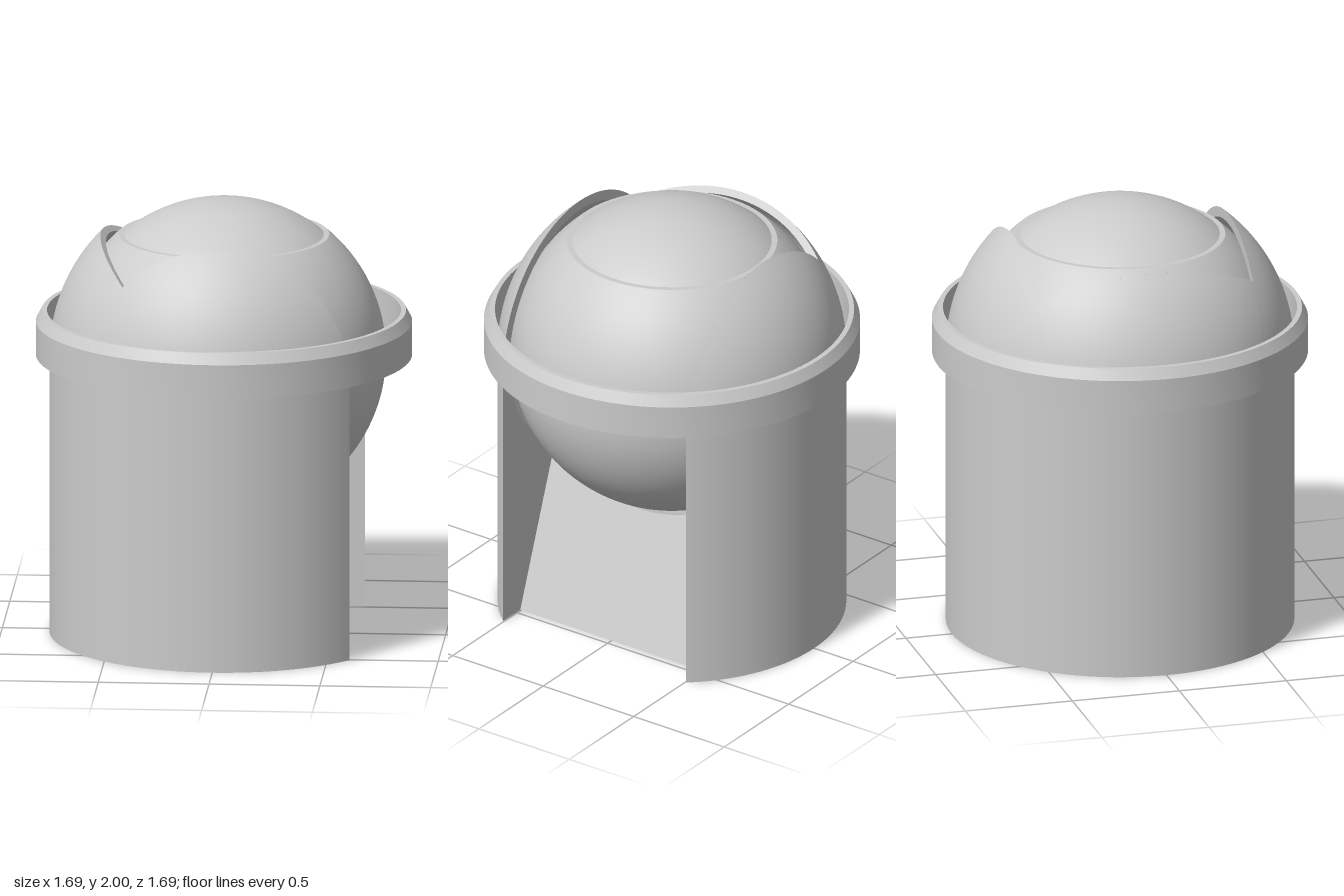
import * as THREE from 'three';
import { toCreasedNormals } from 'three/addons/utils/BufferGeometryUtils.js';

const CY = 1.286;          // height of the ball centre
const R_OUT = 0.785;       // body and dome radius
const R_CAV = 0.75;        // cavity radius
const R_BALL = 0.73;
const HALF = 0.505;        // half width of the slot
const TOP = THREE.MathUtils.degToRad(135);   // slot ends, as angles about the z axis
const LOW = THREE.MathUtils.degToRad(-70);

const solid = new THREE.MeshStandardMaterial({ color: 0xcccccc });
const thin = new THREE.MeshStandardMaterial({ color: 0xcccccc, side: THREE.DoubleSide });

function add(parent, name, geometry, material = solid) {
  const mesh = new THREE.Mesh(geometry, material);
  mesh.name = name;
  parent.add(mesh);
  return mesh;
}

// Grid surface: f(u, v) gives [distance from the z axis, angle, z]
function polarPatch(f, nu, nv) {
  const g = new THREE.PlaneGeometry(1, 1, nu, nv);
  const p = g.attributes.position, uv = g.attributes.uv;
  for (let i = 0; i < p.count; i++) {
    const [s, a, z] = f(uv.getX(i), uv.getY(i));
    p.setXYZ(i, s * Math.cos(a), CY + s * Math.sin(a), z);
  }
  g.computeVertexNormals();
  return g;
}

const lerp = THREE.MathUtils.lerp;
const chord = (r, z) => Math.sqrt(Math.max(0, r * r - z * z));

// Part of a sphere between two angles about z and two z limits
function spherePatch(r, a0, a1, z0, z1, nu, nv) {
  const t0 = Math.asin(z0 / r), t1 = Math.asin(z1 / r);
  return polarPatch((u, v) => {
    const t = lerp(t0, t1, v);
    return [r * Math.cos(t), lerp(a0, a1, u), r * Math.sin(t)];
  }, nu, nv);
}

// Flat end of the slot along one angle, from the cavity out to a limit
function slotEnd(angle, outer) {
  return polarPatch((u, v) => {
    const z = lerp(-HALF, HALF, v);
    return [lerp(chord(R_CAV, z), outer(z), u), angle, z];
  }, 1, 48);
}

export function createModel() {
  const model = new THREE.Group();
  model.name = 'ballInSlottedHousing';
  const housing = new THREE.Group();
  housing.name = 'housing';
  model.add(housing);

  // Cylinder wall, open where the slot runs down the +x side
  const cut = Math.asin(HALF / R_OUT);
  const wall = new THREE.CylinderGeometry(R_OUT, R_OUT, CY, 96, 1, true, Math.PI / 2 + cut, Math.PI * 2 - 2 * cut);
  wall.translate(0, CY / 2, 0);
  add(housing, 'cylinderWall', wall, thin);

  // Base plate with the slot notch
  const footX = CY / Math.tan(-LOW);
  const base = new THREE.Shape();
  base.absarc(0, 0, R_OUT, cut, Math.PI * 2 - cut, false);
  base.lineTo(footX, -HALF);
  base.lineTo(footX, HALF);
  add(housing, 'base', new THREE.ShapeGeometry(base, 96).rotateX(Math.PI / 2), thin);

  // Dome and cavity: both sides whole, the middle interrupted by the slot
  for (const s of [-1, 1]) {
    add(housing, 'domeSide', spherePatch(R_OUT, 0, Math.PI, s * HALF, s * R_OUT, 72, 24), thin);
    add(housing, 'cavitySide', spherePatch(R_CAV, 0, Math.PI * 2, s * HALF, s * R_CAV, 96, 20), thin);
  }
  add(housing, 'domeBack', spherePatch(R_OUT, TOP, Math.PI, -HALF, HALF, 20, 40), thin);
  add(housing, 'cavityBack', spherePatch(R_CAV, TOP, LOW + Math.PI * 2, -HALF, HALF, 60, 40), thin);

  // Slot ends: edge of the dome on top, sloping wall below
  add(housing, 'slotTopEdge', slotEnd(TOP, z => chord(R_OUT, z)), thin);
  add(housing, 'slotSlope', slotEnd(LOW, () => CY / Math.sin(-LOW)), thin);

  // Flat slot cheeks on both sides of the ball
  const rOut = chord(R_OUT, HALF), rIn = chord(R_CAV, HALF);
  const cheek = new THREE.Shape();
  cheek.absarc(0, CY, rOut, TOP, 0, true);
  cheek.lineTo(rOut, 0);
  cheek.lineTo(footX, 0);
  cheek.absarc(0, CY, rIn, LOW, TOP, false);
  for (const s of [-1, 1]) {
    add(housing, 'slotCheek', new THREE.ShapeGeometry(cheek, 64), thin).position.z = s * HALF;
  }

  // Collar with a chamfered rim and an inner ledge
  const profile = [
    [0.735, 1.285], [0.847, 1.285], [0.847, 1.44], [0.82, 1.49],
    [0.797, 1.49], [0.797, 1.3], [0.735, 1.3], [0.735, 1.285],
  ].map(([x, y]) => new THREE.Vector2(x, y));
  add(model, 'collar', toCreasedNormals(new THREE.LatheGeometry(profile, 96), 0.3));

  // Ball with a slightly recessed cap on top
  const ball = new THREE.Group();
  ball.name = 'ball';
  ball.position.y = CY;
  model.add(ball);
  const capY = 0.555, rCap = 2 - CY;
  const tBall = Math.acos(capY / R_BALL), tCap = Math.acos(capY / rCap);
  add(ball, 'ballBody', new THREE.SphereGeometry(R_BALL, 96, 56, 0, Math.PI * 2, tBall, Math.PI - tBall));
  add(ball, 'ballCap', new THREE.SphereGeometry(rCap, 96, 16, 0, Math.PI * 2, 0, tCap));
  const step = new THREE.RingGeometry(chord(rCap, capY), chord(R_BALL, capY), 96).rotateX(-Math.PI / 2);
  add(ball, 'capStep', step).position.y = capY;

  return model;
}
